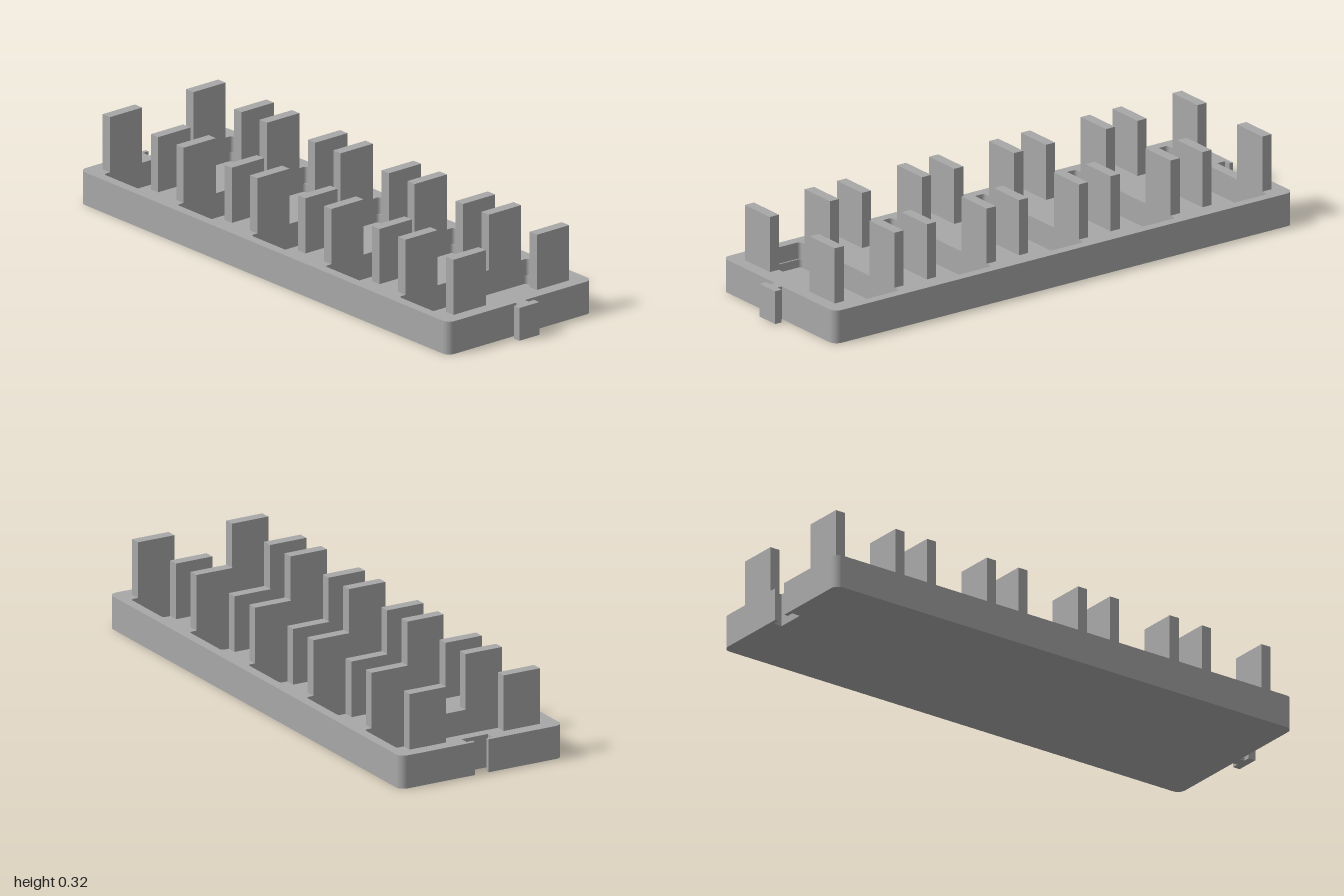
import * as THREE from 'three';

const HEIGHT = 0.12, FLOOR = 0.03, STEP = 0.06;
const POCKET_X = [-0.806, -0.416, -0.026, 0.366, 0.758];
const POCKET_HALF = 0.108;

// Plan of the tray with rounded corners and a T-shaped slot on the -x end
function trayOutline() {
  const x0 = -1, x1 = 0.953, z = 0.325, r = 0.03;
  const s = new THREE.Shape();
  s.moveTo(x0 + r, -z);
  s.lineTo(x1 - r, -z);
  s.absarc(x1 - r, -z + r, r, -Math.PI / 2, 0, false);
  s.lineTo(x1, z - r);
  s.absarc(x1 - r, z - r, r, 0, Math.PI / 2, false);
  s.lineTo(x0 + r, z);
  s.absarc(x0 + r, z - r, r, Math.PI / 2, Math.PI, false);
  [[x0, 0.027], [-0.985, 0.027], [-0.985, 0.052], [-0.952, 0.052],
    [-0.952, -0.052], [-0.985, -0.052], [-0.985, -0.027], [x0, -0.027]]
    .forEach(([x, y]) => s.lineTo(x, y));
  s.lineTo(x0, -z + r);
  s.absarc(x0 + r, -z + r, r, Math.PI, Math.PI * 1.5, false);
  return s;
}

// Rounded rectangular pocket opening
function pocketHole(cx, halfX, halfZ, r) {
  const p = new THREE.Path();
  p.absarc(cx + halfX - r, halfZ - r, r, 0, Math.PI / 2, false);
  p.absarc(cx - halfX + r, halfZ - r, r, Math.PI / 2, Math.PI, false);
  p.absarc(cx - halfX + r, -halfZ + r, r, Math.PI, Math.PI * 1.5, false);
  p.absarc(cx + halfX - r, -halfZ + r, r, Math.PI * 1.5, Math.PI * 2, false);
  p.closePath();
  return p;
}

export function createModel() {
  const group = new THREE.Group();
  group.name = 'batteryTray';
  const grey = new THREE.MeshStandardMaterial({ color: 0xa8a8a8 });
  grey.name = 'grey plastic';

  const add = (name, geometry) => {
    const mesh = new THREE.Mesh(geometry, grey);
    mesh.name = name;
    group.add(mesh);
    return mesh;
  };
  const slab = (name, shape, y0, y1) => {
    const g = new THREE.ExtrudeGeometry(shape, { depth: y1 - y0, bevelEnabled: false, curveSegments: 8 });
    g.rotateX(-Math.PI / 2).translate(0, y0, 0);
    add(name, g);
  };

  // Solid floor, then two wall layers whose pockets step out slightly
  slab('trayFloor', trayOutline(), 0, FLOOR);
  [['lowerWalls', FLOOR, STEP, 0.283], ['upperWalls', STEP, HEIGHT, 0.289]].forEach(([name, y0, y1, halfZ]) => {
    const shape = trayOutline();
    POCKET_X.forEach((x) => shape.holes.push(pocketHole(x, POCKET_HALF, halfZ, 0.012)));
    slab(name, shape, y0, y1);
  });

  // Connector tab on the +x end
  const tab = new THREE.Shape([[0.953, -0.02], [0.972, -0.02], [0.972, -0.045], [1, -0.045],
    [1, 0.045], [0.972, 0.045], [0.972, 0.02], [0.953, 0.02]].map(([x, y]) => new THREE.Vector2(x, y)));
  slab('connectorTab', tab, 0, HEIGHT);

  // Four upright posts around each pocket
  const postGeometry = new THREE.BoxGeometry(0.039, 0.202, 0.145).translate(0, 0.101, 0);
  for (const x of POCKET_X) {
    for (const sx of [-1, 1]) {
      for (const sz of [-1, 1]) {
        add('post', postGeometry).position.set(x + sx * (POCKET_HALF + 0.0195), HEIGHT, sz * 0.1875);
      }
    }
  }
  return group;
}
